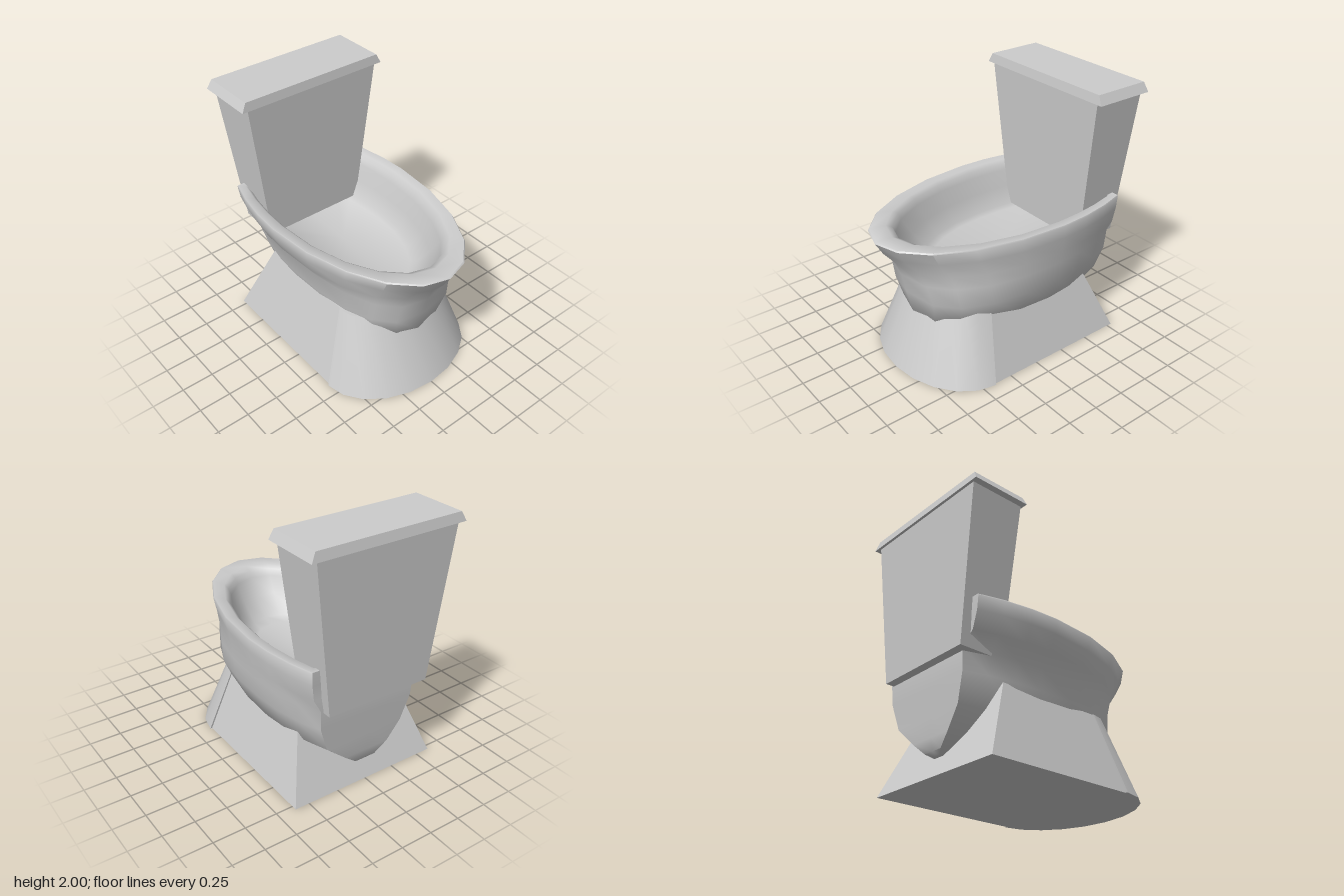
import * as THREE from 'three';
import { toCreasedNormals } from 'three/addons/utils/BufferGeometryUtils.js';

const material = new THREE.MeshStandardMaterial({ color: 0xcccccc });

// Skin a list of closed rings, ordered from top to bottom on the outside.
function loft(rings, crease) {
  const n = rings[0].length;
  const index = [];
  for (let r = 0; r < rings.length - 1; r++) {
    for (let i = 0; i < n; i++) {
      const j = (i + 1) % n;
      const a = r * n + i, b = r * n + j, c = a + n, d = b + n;
      if (!rings[r][i].equals(rings[r][j])) index.push(a, b, c);
      if (!rings[r + 1][i].equals(rings[r + 1][j])) index.push(b, d, c);
    }
  }
  const geometry = new THREE.BufferGeometry().setFromPoints(rings.flat());
  geometry.setIndex(index);
  return toCreasedNormals(geometry, crease);
}

function addMesh(parent, name, geometry) {
  const mesh = new THREE.Mesh(geometry, material);
  mesh.name = name;
  parent.add(mesh);
}

// Collapse a ring to a point so the skin closes there.
const point = (ring, x, y) => ring.map(() => new THREE.Vector3(x, y, 0));
const capped = (rings, x) => [
  point(rings[0], x, rings[0][0].y), ...rings, point(rings[0], x, rings.at(-1)[0].y)];

// Tapered box between two rectangles [y, xMin, xMax, zHalf].
function taperedBox(top, bottom) {
  const rings = [top, bottom].map(([y, x0, x1, z]) =>
    [[x1, -z], [x1, z], [x0, z], [x0, -z]].map(([x, w]) => new THREE.Vector3(x, y, w)));
  return loft(capped(rings, (top[1] + top[2]) / 2), 0.2);
}

// Bowl outline: rounded front, tapering sides, flat back.
function bowlRing([y, front, back, zLeft, zRight, power, backRadius]) {
  const cx = -0.23, ring = [];
  const put = (x, s) => ring.push(new THREE.Vector3(x, y, s * (s > 0 ? zLeft : zRight)));
  const side = (f) => {
    const x = cx + (back - cx) * f;
    return [x, Math.sqrt(1 - ((x - cx) / backRadius) ** 2)];
  };
  for (let i = -5; i <= 5; i++) {
    const t = i * Math.PI / 10;
    const u = Math.cos(t);
    const s = i === 0 ? 0 : Math.sign(i) * Math.pow(Math.max(0, 1 - Math.pow(u, power)), 1 / power);
    put(cx + (front - cx) * u, s);
  }
  for (const f of [0.35, 0.7, 1]) { const [x, s] = side(f); put(x, s); }
  put(back, 0);
  for (const f of [1, 0.7, 0.35]) { const [x, s] = side(f); put(x, -s); }
  return ring;
}

// Base outline: straight sides and back with a half-elliptical front.
function baseRing([y, xBack, zSide, cx, rx, rz]) {
  const ring = [];
  for (let i = -5; i <= 5; i++) {
    const t = i * Math.PI / 10;
    ring.push(new THREE.Vector3(cx + rx * Math.cos(t), y, rz * Math.sin(t)));
  }
  for (const [x, z] of [[cx, zSide], [xBack, zSide], [xBack, -zSide], [cx, -zSide]])
    ring.push(new THREE.Vector3(x, y, z));
  return ring;
}

export function createModel() {
  const group = new THREE.Group();
  group.name = 'toilet';

  // Bowl: from the inner floor, up over the rim, then down the outside
  // [y, front, back, zLeft, zRight, power, backRadius]
  const bowlRings = [
    [0.73, 0.46, -0.72, 0.38, 0.38, 2, 1.1],
    [0.76, 0.54, -0.74, 0.41, 0.41, 2, 1.1],
    [0.90, 0.66, -0.76, 0.46, 0.46, 2, 1.1],
    [1.03, 0.75, -0.78, 0.50, 0.50, 2, 1.1],
    [1.08, 0.77, -0.79, 0.52, 0.52, 2, 1.1],
    [1.105, 0.82, -0.80, 0.545, 0.545, 2, 1.15],
    [1.11, 0.95, -0.85, 0.615, 0.615, 2, 1.15],
    [1.10, 0.96, -0.85, 0.62, 0.62, 2, 1.15],
    [1.00, 0.90, -0.845, 0.60, 0.61, 2, 1.15],
    [0.88, 0.80, -0.835, 0.545, 0.595, 2.2, 1.1],
    [0.78, 0.765, -0.84, 0.47, 0.58, 2.5, 0.95],
    [0.62, 0.73, -0.83, 0.455, 0.56, 2.8, 0.95],
    [0.42, 0.68, -0.81, 0.38, 0.48, 2.6, 0.9],
    [0.27, 0.50, -0.80, 0.28, 0.30, 2.2, 0.75],
    [0.18, 0.30, -0.78, 0.16, 0.16, 2, 0.65],
    [0.15, 0.10, -0.75, 0.08, 0.08, 2, 0.6],
  ].map(bowlRing);
  addMesh(group, 'bowl', loft(capped(bowlRings, -0.2), 0.9));

  // Flared foot
  const baseRings = [
    [0.60, -0.545, 0.425, 0.30, 0.315, 0.435],
    [0, -0.79, 0.615, 0.40, 0.46, 0.63],
  ].map(baseRing);
  addMesh(group, 'base', loft(capped(baseRings, 0), 0.5));

  // Cistern, narrowing downward, and its bevelled lid
  addMesh(group, 'tank', taperedBox([1.93, -0.95, -0.52, 0.565], [0.76, -0.905, -0.565, 0.42]));
  addMesh(group, 'tankLid', taperedBox([2, -0.955, -0.515, 0.58], [1.93, -0.97, -0.505, 0.615]));
  return group;
}
